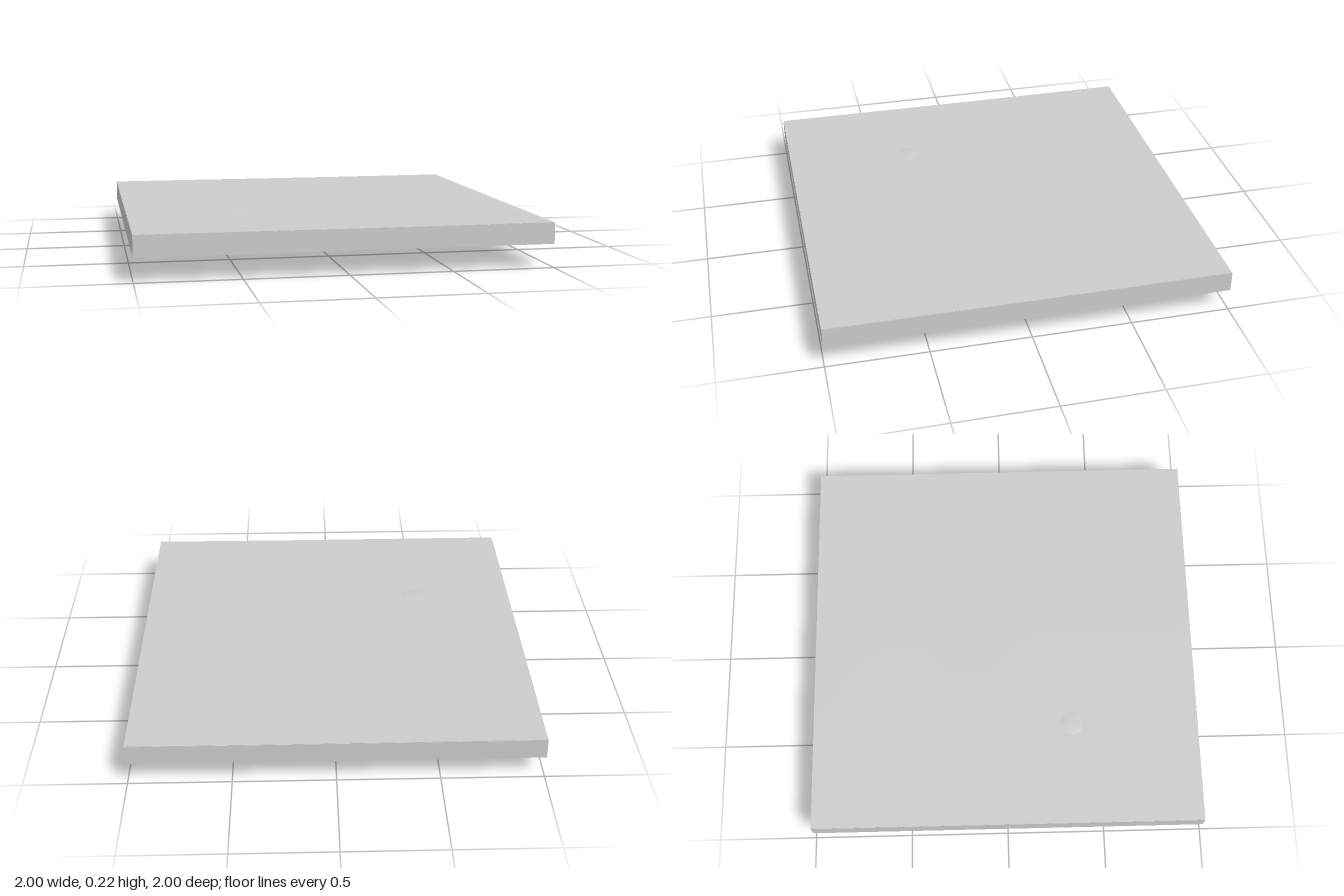
import * as THREE from 'three';

const plaster = new THREE.MeshStandardMaterial({ color: 0xcccccc });
plaster.name = 'pale grey';

function add(parent, name, geometry, x = 0, y = 0, z = 0) {
  const mesh = new THREE.Mesh(geometry, plaster);
  mesh.name = name;
  mesh.position.set(x, y, z);
  parent.add(mesh);
  return mesh;
}

// gentle sag inside each quarter, slight crown in the middle
function warp(x, z) {
  const sag = Math.abs(Math.sin(Math.PI * x) * Math.sin(Math.PI * z));
  const crown = Math.exp(-(((x + 0.15) / 0.35) ** 2) - (z / 0.35) ** 2);
  return 0.003 * crown - 0.003 * sag + 0.001 * Math.sin(3 * x + 1) * Math.cos(2.5 * z);
}

function panelGeometry() {
  const g = new THREE.BoxGeometry(1.996, 0.01, 1.996, 40, 1, 40);
  const p = g.attributes.position;
  for (let i = 0; i < p.count; i++) p.setY(i, p.getY(i) + warp(p.getX(i), p.getZ(i)));
  g.computeVertexNormals();
  return g;
}

// hanging drop: wide root, thin neck, round bulb, tip at y = 0
function dripGeometry(length) {
  const pts = [[0, 0], [0.006, 0.002], [0.0105, 0.01], [0.01, 0.017], [0.006, 0.029],
    [0.0045, 0.04], [0.005, length * 0.7], [0.008, length * 0.9], [0.016, length]];
  return new THREE.LatheGeometry(pts.map(([r, y]) => new THREE.Vector2(r, y)), 12);
}

// flattened, irregular blister
function blisterGeometry(rx, ry, rz) {
  const g = new THREE.SphereGeometry(1, 24, 10);
  const p = g.attributes.position;
  for (let i = 0; i < p.count; i++) {
    const a = Math.atan2(p.getZ(i), p.getX(i));
    const k = 1 + 0.08 * Math.sin(3 * a + 1) + 0.05 * Math.cos(2 * a);
    p.setXYZ(i, p.getX(i) * rx * k, p.getY(i) * ry, p.getZ(i) * rz * k);
  }
  g.computeVertexNormals();
  return g;
}

export function createModel() {
  const model = new THREE.Group();
  model.name = 'ceilingPanel';

  add(model, 'panel', panelGeometry(), 0, 0.219, 0);

  // rim and cross beams: one outline with four square openings
  const outline = new THREE.Shape([[-1, -1], [1, -1], [1, 1], [-1, 1]].map(([x, y]) => new THREE.Vector2(x, y)));
  for (const sx of [-1, 1]) for (const sy of [-1, 1]) {
    const a = 0.035, b = 0.965;
    outline.holes.push(new THREE.Path(
      [[a, a], [a, b], [b, b], [b, a]].map(([x, y]) => new THREE.Vector2(sx * x, sy * y))));
  }
  const frame = new THREE.ExtrudeGeometry(outline, { depth: 0.102, bevelEnabled: false });
  frame.rotateX(-Math.PI / 2);
  add(model, 'frame', frame, 0, 0.12, 0);

  // damp blisters
  add(model, 'frontBlister', blisterGeometry(0.072, 0.007, 0.07), -0.47, 0.218, 0.34);
  add(model, 'frontPuddle', blisterGeometry(0.045, 0.005, 0.04), -0.48, 0.212, 0.35);
  add(model, 'backPuddle', blisterGeometry(0.05, 0.007, 0.07), -0.7, 0.213, -0.62);

  // drips: x, z, tip height
  for (const [x, z, tip] of [[-0.495, 0.36, 0.083], [-0.745, -0.6, 0.036], [-0.72, -0.68, 0.004], [-0.715, -0.612, 0.085]])
    add(model, 'drip', dripGeometry(0.212 - tip), x, tip, z);

  // small corner block under the frame
  add(model, 'cornerBlockWide', new THREE.BoxGeometry(0.085, 0.018, 0.06), -0.91, 0.112, 0.925);
  add(model, 'cornerBlockNarrow', new THREE.BoxGeometry(0.05, 0.018, 0.03), -0.925, 0.112, 0.882);
  // tie the block to the panel above
  add(model, 'cornerPost', new THREE.BoxGeometry(0.03, 0.1, 0.03), -0.95, 0.168, 0.95);

  return model;
}
